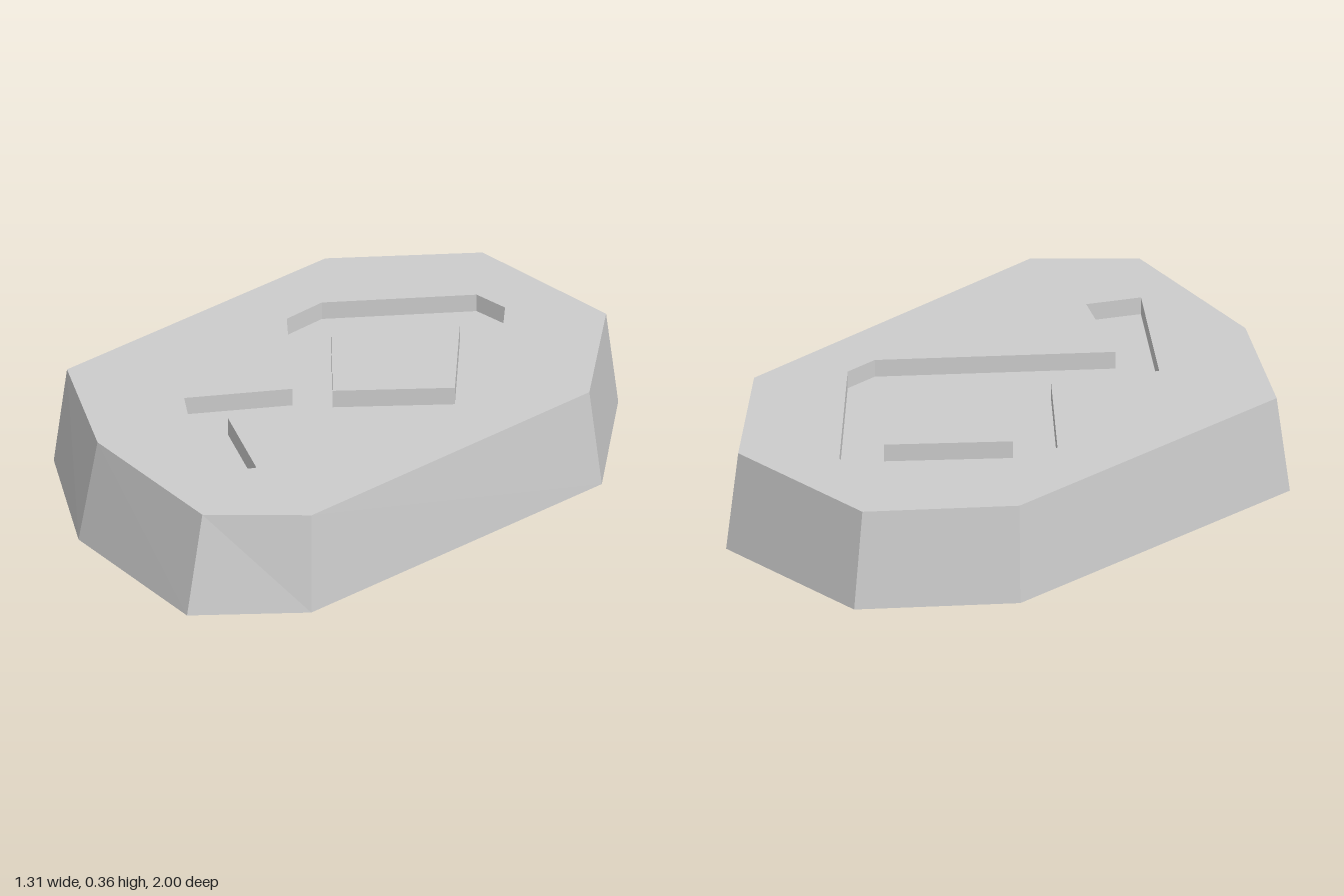
import * as THREE from 'three';

const HEIGHT = 0.36;
const FLOOR = HEIGHT - 0.065;

// All outlines are [x, z], clockwise seen from above
const base = [[-0.31, -0.935], [0.28, -1], [0.652, -0.615], [0.655, 0.667],
  [0.4, 1], [-0.21, 0.965], [-0.655, 0.7], [-0.64, -0.48]];
const rim = [[-0.3, -0.89], [0.27, -0.955], [0.62, -0.587], [0.625, 0.64],
  [0.385, 0.92], [-0.2, 0.89], [-0.625, 0.667], [-0.612, -0.46]];
const glyph = [[-0.105, -0.7], [0.02, -0.72], [0.447, -0.32], [0.447, -0.2],
  [-0.037, 0.453], [0.27, 0.585], [0.185, 0.755], [-0.23, 0.483],
  [-0.04, 0.165], [-0.398, -0.11], [-0.402, -0.268]];
const island = [[-0.005, -0.543], [0.307, -0.258], [0.057, 0.07], [-0.27, -0.197]];

// Flat horizontal face, optionally with a hole, facing up or down
function slab(outline, y, hole, down = false) {
  const s = down ? 1 : -1;
  const toPoints = (o) => o.map(([x, z]) => new THREE.Vector2(x, s * z));
  const shape = new THREE.Shape(toPoints(outline));
  if (hole) shape.holes.push(new THREE.Path(toPoints(hole)));
  return new THREE.ShapeGeometry(shape).rotateX(s * Math.PI / 2).translate(0, y, 0);
}

// Ring of walls between two outlines, facing outward or inward
function walls(lower, upper, y0, y1, inward = false) {
  const positions = [];
  lower.forEach(([x, z], i) => {
    const j = (i + 1) % lower.length;
    const a = [x, y0, z];
    const b = [lower[j][0], y0, lower[j][1]];
    const c = [upper[j][0], y1, upper[j][1]];
    const d = [upper[i][0], y1, upper[i][1]];
    positions.push(...(inward ? [a, b, c, a, c, d] : [a, c, b, a, d, c]).flat());
  });
  const geometry = new THREE.BufferGeometry();
  geometry.setAttribute('position', new THREE.Float32BufferAttribute(positions, 3));
  geometry.computeVertexNormals();
  return geometry;
}

export function createModel() {
  const model = new THREE.Group();
  model.name = 'carvedStone';
  const stone = new THREE.MeshStandardMaterial({ color: 0xcccccc });
  stone.name = 'stone grey';
  stone.flatShading = true;

  const add = (name, geometry) => {
    const mesh = new THREE.Mesh(geometry, stone);
    mesh.name = name;
    model.add(mesh);
  };

  // Stone body
  add('stoneSides', walls(base, rim, 0, HEIGHT));
  add('stoneBottom', slab(base, 0, null, true));
  add('stoneTop', slab(rim, HEIGHT, glyph));

  // Carved groove and the raised diamond left standing inside it
  add('grooveWalls', walls(glyph, glyph, FLOOR, HEIGHT, true));
  add('grooveFloor', slab(glyph, FLOOR, island));
  add('diamondSides', walls(island, island, FLOOR, HEIGHT));
  add('diamondTop', slab(island, HEIGHT));

  return model;
}
